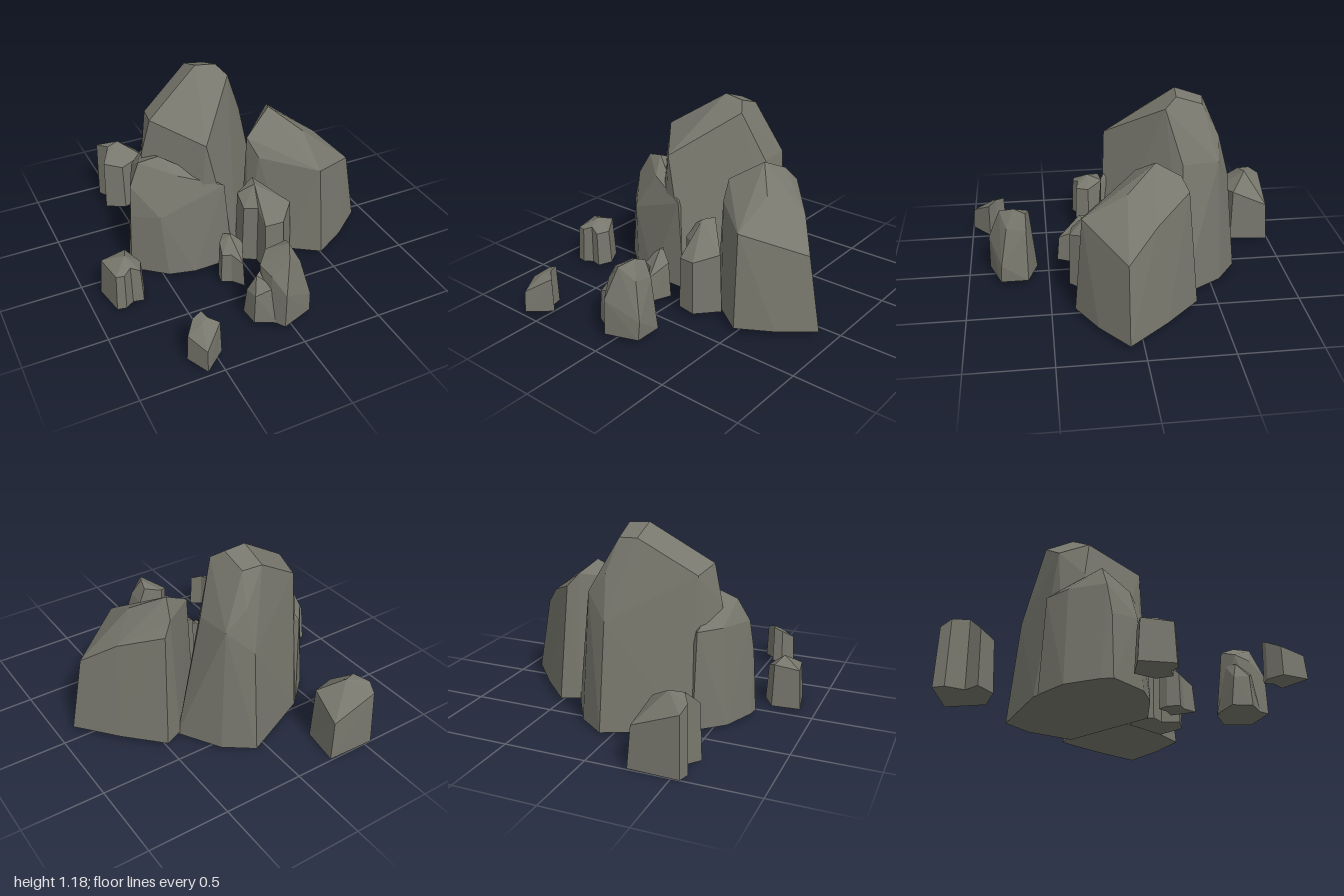
import * as THREE from 'three';
import { ConvexGeometry } from 'three/addons/geometries/ConvexGeometry.js';

const stoneMaterial = new THREE.MeshStandardMaterial({ color: 0x77776d, flatShading: true, roughness: 1 });

// Faceted boulder: hull over a ground outline [x, z] and upper corners [x, y, z]
function boulder(name, baseY, outline, corners) {
  const points = [
    ...outline.map(([x, z]) => new THREE.Vector3(x, baseY, z)),
    ...corners.map(p => new THREE.Vector3(...p)),
  ];
  const mesh = new THREE.Mesh(new ConvexGeometry(points), stoneMaterial);
  mesh.name = name;
  return mesh;
}

// Notched stone: outline [x, z, rimHeight], tapering up to a rim that fans to a peak
function notchedStone(name, baseY, outline, peak, taper = 0.88) {
  const ring = THREE.ShapeUtils.isClockWise(outline.map(([x, z]) => new THREE.Vector2(x, z)))
    ? outline : [...outline].reverse();
  const cx = ring.reduce((s, p) => s + p[0], 0) / ring.length;
  const cz = ring.reduce((s, p) => s + p[1], 0) / ring.length;
  const low = ring.map(([x, z]) => [x, baseY, z]);
  const rim = ring.map(([x, z, y]) => [cx + (x - cx) * taper, y, cz + (z - cz) * taper]);
  const foot = [cx, baseY, cz];
  const positions = [];
  const tri = (a, b, c) => positions.push(...a, ...b, ...c);
  ring.forEach((_, i) => {
    const j = (i + 1) % ring.length;
    tri(low[i], low[j], rim[j]);
    tri(low[i], rim[j], rim[i]);
    tri(rim[i], rim[j], peak);
    tri(low[j], low[i], foot);
  });
  const geometry = new THREE.BufferGeometry();
  geometry.setAttribute('position', new THREE.Float32BufferAttribute(positions, 3));
  geometry.computeVertexNormals();
  const mesh = new THREE.Mesh(geometry, stoneMaterial);
  mesh.name = name;
  return mesh;
}

export function createModel() {
  const group = new THREE.Group();
  group.name = 'rockCluster';

  // Tall central boulder
  group.add(boulder('tallBoulder', 0.01,
    [[-0.02, 0.165], [0.1, 0.02], [0.39, -0.31], [0.24, -0.56], [0.07, -0.685],
      [-0.38, -0.475], [-0.55, -0.3], [-0.52, -0.1], [-0.28, 0.1]],
    [[-0.08, 1.18, -0.3], [0.05, 1.165, -0.29], [0.04, 1.11, -0.45], [-0.08, 1.12, -0.47],
      [0.1, 1.11, -0.22], [-0.2, 0.865, 0.12], [-0.435, 0.945, -0.18], [-0.4, 0.91, -0.36],
      [0.08, 0.92, -0.55], [0.2, 0.8, -0.53], [0.06, 0.66, -0.62], [0.225, 0.8, -0.31],
      [-0.49, 0.72, -0.2]]));

  // Lower boulder leaning on its side
  group.add(boulder('leaningBoulder', 0.01,
    [[-0.66, -0.03], [-0.65, -0.1], [-0.47, 0.13], [-0.31, 0.17], [-0.05, 0.165],
      [-0.57, -0.3], [-0.41, -0.45], [-0.2, -0.3]],
    [[-0.43, 0.755, -0.07], [-0.55, 0.725, -0.1], [-0.36, 0.67, 0.06], [-0.1, 0.585, 0.15],
      [-0.62, 0.59, -0.07], [-0.5, 0.43, 0.1], [-0.42, 0.6, -0.42], [-0.53, 0.6, -0.29],
      [-0.64, 0.4, -0.04]]));

  // Broad boulder with a slanted top
  group.add(boulder('broadBoulder', 0.025,
    [[0.49, 0.36], [0.7, 0.24], [0.9, 0.08], [0.7, -0.16], [0.495, -0.37],
      [0.38, -0.32], [0.13, -0.08], [0.12, 0.03], [0.3, 0.23]],
    [[0.34, 0.88, -0.13], [0.49, 0.76, 0.05], [0.475, 0.615, 0.31], [0.815, 0.49, 0.08],
      [0.66, 0.64, -0.1], [0.46, 0.74, -0.31], [0.4, 0.815, -0.27], [0.145, 0.75, -0.04],
      [0.18, 0.65, 0.06]]));

  // Round stone in front, with a low lobe at its side
  group.add(boulder('roundStone', 0.025,
    [[-0.07, 0.6], [-0.03, 0.57], [0.145, 0.63], [0.145, 0.8], [-0.055, 0.87], [-0.1, 0.8]],
    [[0.045, 0.48, 0.7], [0.06, 0.45, 0.63], [0.0, 0.45, 0.79], [-0.13, 0.37, 0.68],
      [-0.06, 0.41, 0.61], [-0.05, 0.25, 0.865], [0.095, 0.37, 0.75], [0.15, 0.14, 0.79],
      [0.1, 0.35, 0.63], [-0.1, 0.34, 0.77]]));
  group.add(boulder('roundStoneLobe', 0.025,
    [[-0.21, 0.64], [-0.2, 0.76], [-0.08, 0.82], [-0.05, 0.57]],
    [[-0.2, 0.2, 0.66], [-0.19, 0.21, 0.75], [-0.15, 0.3, 0.68], [-0.08, 0.31, 0.63], [-0.08, 0.26, 0.78]]));

  // Stone tucked against the broad boulder
  group.add(notchedStone('tuckedStone', 0.02,
    [[0, 0.1, 0.47], [0, 0.2, 0.41], [0.08, 0.25, 0.42], [0.08, 0.36, 0.35],
      [0.2, 0.38, 0.36], [0.32, 0.25, 0.4], [0.13, 0.06, 0.53]], [0.1, 0.54, 0.16], 0.93));

  // Small scattered stones
  group.add(notchedStone('littleStone', 0.02,
    [[-0.155, 0.225, 0.3], [-0.11, 0.27, 0.31], [-0.04, 0.3, 0.25], [-0.1, 0.44, 0.18],
      [-0.155, 0.37, 0.22], [-0.215, 0.345, 0.22], [-0.2, 0.27, 0.27]], [-0.13, 0.32, 0.29]));
  group.add(notchedStone('frontStone', 0.025,
    [[-0.665, 0.855, 0.19], [-0.6, 0.78, 0.24], [-0.54, 0.77, 0.265], [-0.525, 0.83, 0.26],
      [-0.465, 0.88, 0.24], [-0.6, 0.995, 0.16]], [-0.57, 0.24, 0.85], 0.92));
  group.add(notchedStone('sideStone', 0.005,
    [[-0.905, 0.09, 0.25], [-0.73, 0.075, 0.27], [-0.66, 0.19, 0.23], [-0.695, 0.28, 0.23],
      [-0.76, 0.265, 0.26], [-0.815, 0.3, 0.24], [-0.87, 0.29, 0.24]], [-0.77, 0.305, 0.19], 0.88));
  group.add(notchedStone('backStone', 0,
    [[-0.55, -1, 0.36], [-0.245, -0.99, 0.25], [-0.28, -0.75, 0.34], [-0.46, -0.685, 0.315],
      [-0.58, -0.75, 0.34], [-0.515, -0.83, 0.42], [-0.57, -0.93, 0.4]], [-0.43, 0.43, -0.86], 0.92));

  return group;
}
